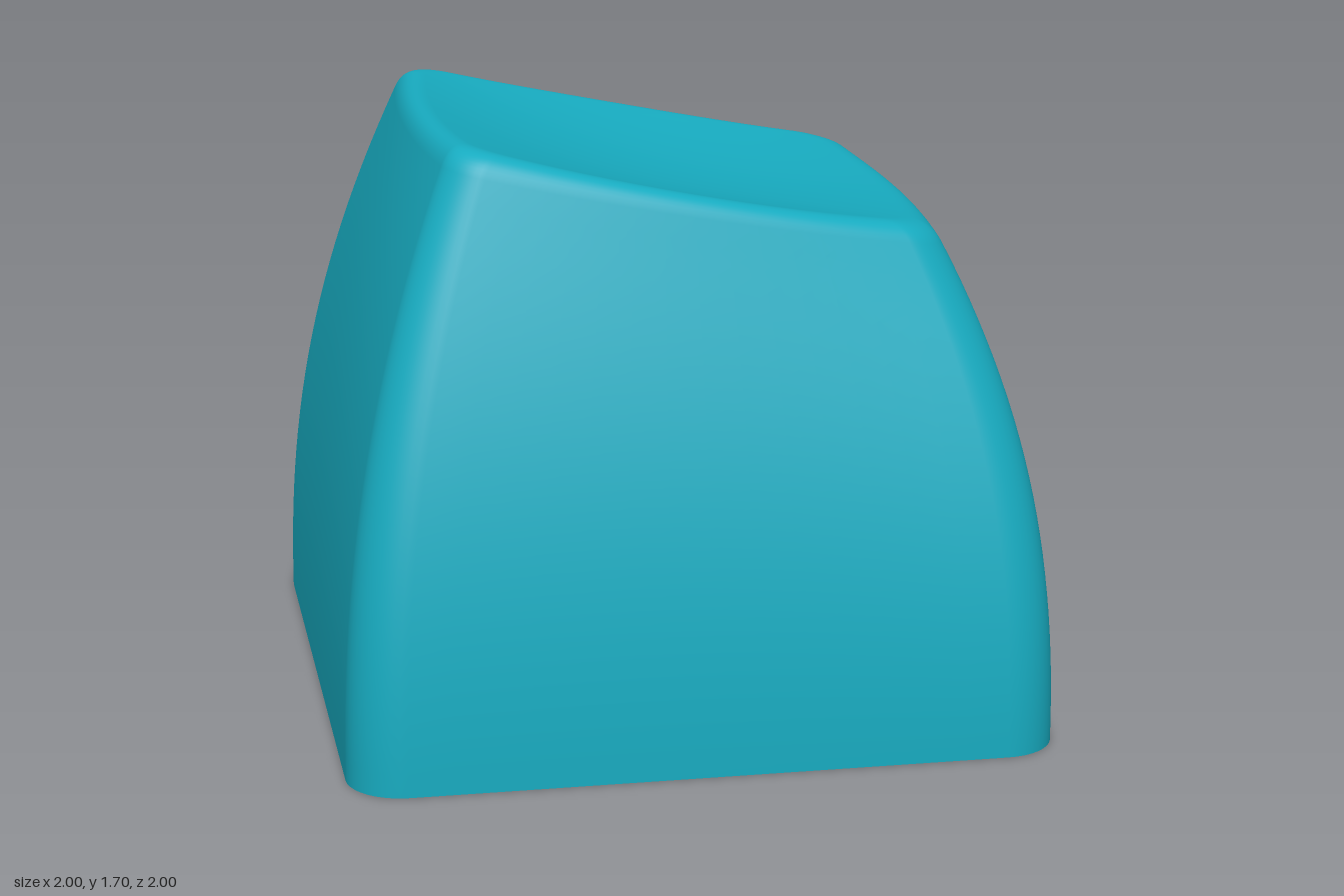
import * as THREE from 'three';

const EDGE = 14, ARC = 10, SIDE = EDGE + ARC, N = 4 * SIDE;

// Point j of a rounded square spanning -1..1 with corner radius r
function roundedSquare(j, r) {
  const k = j % SIDE, turn = Math.floor(j / SIDE) * Math.PI / 2;
  let x, z;
  if (k < EDGE) {
    x = 1;
    z = (1 - r) * (2 * k / EDGE - 1);
  } else {
    const a = (k - EDGE) / ARC * Math.PI / 2;
    x = 1 - r + r * Math.cos(a);
    z = 1 - r + r * Math.sin(a);
  }
  const c = Math.cos(turn), s = Math.sin(turn);
  return [x * c - z * s, x * s + z * c];
}

// Sloping top with a shallow dish
function topY(x, z) {
  const dish = 0.013 + 0.06 * Math.max(0, 1 - (x / 0.75) ** 2);
  return 1.572 - 0.21 * x + 0.055 * x * x - dish * (1 - (z / 0.66) ** 2);
}

// Plan position of the wall at relative height t: sides curve inwards, edges bow out near the top
function plan(j, t) {
  const [u, v] = roundedSquare(j, 0.16 - 0.02 * t);
  const bow = 0.075 * t * t;
  const halfX = u > 0 ? 1 - 0.26 * t ** 2.7 : 1 - 0.315 * t ** 2.25;
  const halfZ = 1 - 0.345 * t ** 2.15 + 0.025 * t ** 8;
  return [u * halfX * (1 - bow * v * v), v * halfZ * (1 - bow * u * u)];
}

function wall(j, t) {
  const [rx, rz] = plan(j, 1);
  const [x, z] = plan(j, t);
  return new THREE.Vector3(x, t * topY(rx, rz), z);
}

function dish(j, s) {
  const [x, z] = plan(j, 1);
  return new THREE.Vector3(x * s, topY(x * s, z * s), z * s);
}

function createShell() {
  const WALL = 26, RIM = 10, DISH = 14, tEnd = 0.96, sStart = 0.91;
  const loops = [];
  // Side walls
  for (let i = 0; i < WALL; i++) loops.push(j => wall(j, tEnd * i / WALL));
  // Rounded rim between wall and dish
  for (let i = 0; i <= RIM; i++) {
    loops.push(j => new THREE.QuadraticBezierCurve3(
      wall(j, tEnd), wall(j, 1), dish(j, sStart)).getPoint(i / RIM));
  }
  // Dished top, closing towards the centre
  for (let i = 1; i < DISH; i++) loops.push(j => dish(j, sStart * (1 - i / DISH)));

  const positions = [], index = [];
  for (const loop of loops) {
    for (let j = 0; j < N; j++) positions.push(...loop(j).toArray());
  }
  positions.push(0, topY(0, 0), 0);
  const last = loops.length - 1, centre = loops.length * N;
  for (let j = 0; j < N; j++) {
    const k = (j + 1) % N;
    for (let i = 0; i < last; i++) {
      const a = i * N + j, b = i * N + k;
      index.push(a, a + N, b, b, a + N, b + N);
    }
    index.push(last * N + j, centre, last * N + k);
  }
  const geometry = new THREE.BufferGeometry();
  geometry.setAttribute('position', new THREE.Float32BufferAttribute(positions, 3));
  geometry.setIndex(index);
  geometry.computeVertexNormals();
  return geometry;
}

export function createModel() {
  const group = new THREE.Group();
  group.name = 'keycap';
  // Thin shell, open underneath
  const shell = new THREE.Mesh(createShell(),
    new THREE.MeshStandardMaterial({ color: 0x17abc0, side: THREE.DoubleSide }));
  shell.name = 'keycapShell';
  group.add(shell);
  return group;
}
